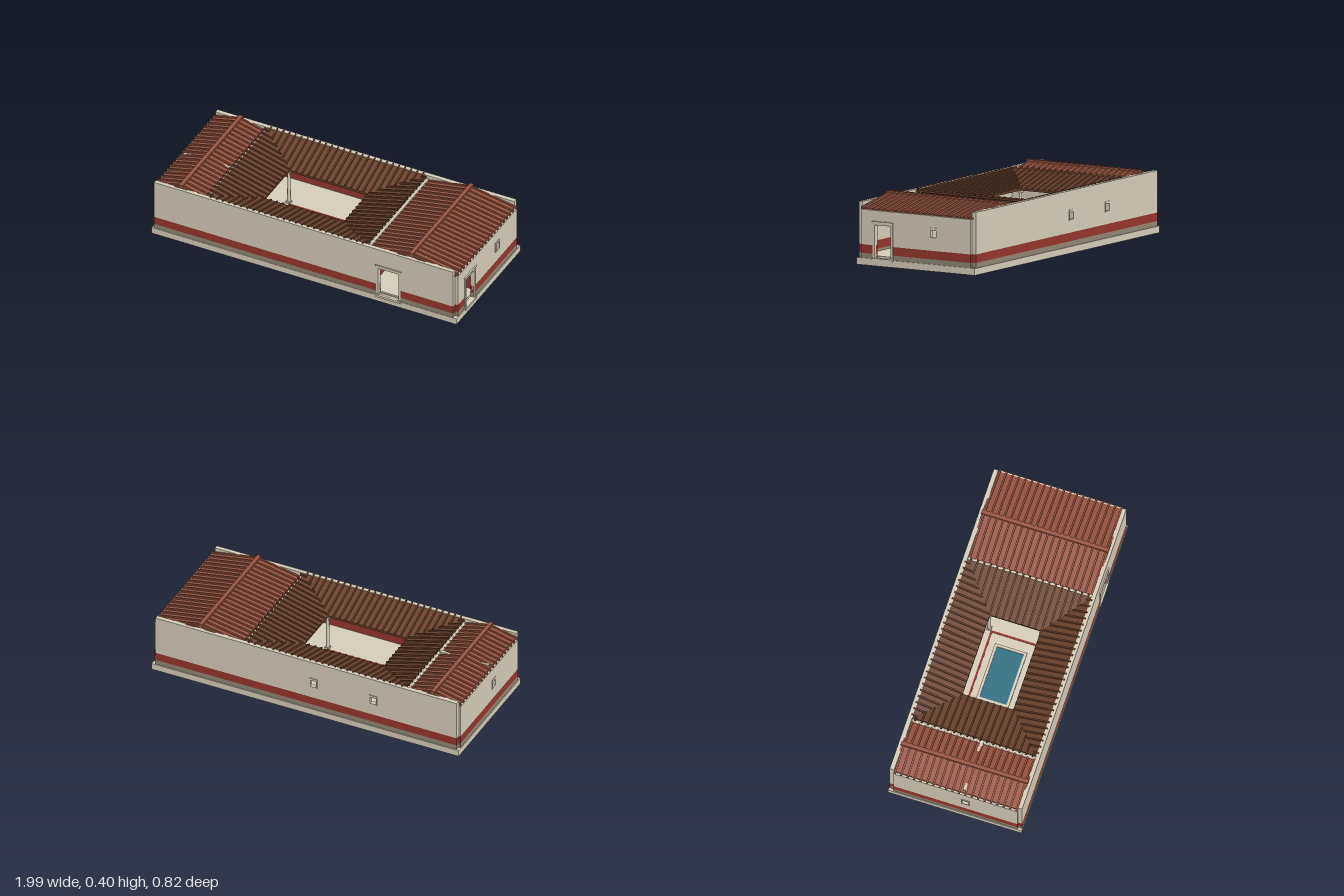
import * as THREE from 'three';
import { mergeGeometries } from 'three/addons/utils/BufferGeometryUtils.js';

const material = (name, color) => Object.assign(new THREE.MeshStandardMaterial({ color }), { name });

export function createModel() {
  const model = new THREE.Group();
  model.name = 'courtyardHouse';
  const plaster = material('cream plaster', 0xd6cdba);
  const red = material('red paint', 0x96362e);
  const stone = material('grey brown socle', 0x918675);
  const terracotta = material('terracotta tile', 0x9a5442);
  const brown = material('dark brown tile', 0x6b432f);
  const blue = material('pool water', 0x357182);

  const group = (name, parent = model) => {
    const g = new THREE.Group();
    g.name = name;
    parent.add(g);
    return g;
  };
  const add = (parent, name, geometry, mat) => {
    const mesh = new THREE.Mesh(geometry, mat);
    mesh.name = name;
    parent.add(mesh);
    return mesh;
  };
  // Box given by its limits on each axis
  const box = (parent, name, mat, x0, x1, y0, y1, z0, z1) => {
    const geo = new THREE.BoxGeometry(x1 - x0, y1 - y0, z1 - z0);
    geo.translate((x0 + x1) / 2, (y0 + y1) / 2, (z0 + z1) / 2);
    return add(parent, name, geo, mat);
  };
  // Box running a0..a1 along an axis and t0..t1 across it
  const along = (parent, name, mat, axis, a0, a1, y0, y1, t0, t1) => axis === 'x'
    ? box(parent, name, mat, a0, a1, y0, y1, t0, t1)
    : box(parent, name, mat, t0, t1, y0, y1, a0, a1);
  // Wall in horizontal colour bands, leaving out holes [a0, a1, y0, y1]
  const wall = (name, axis, a0, a1, t0, t1, bands, holes = []) => {
    const g = group(name);
    for (const [b0, b1, mat] of bands) {
      const cuts = [b0, b1, ...holes.flatMap(h => [h[2], h[3]]).filter(y => y > b0 && y < b1)];
      const ys = [...new Set(cuts)].sort((p, q) => p - q);
      for (let i = 0; i + 1 < ys.length; i++) {
        const mid = (ys[i] + ys[i + 1]) / 2;
        const row = holes.filter(h => h[2] < mid && h[3] > mid).sort((p, q) => p[0] - q[0]);
        let start = a0;
        for (const h of [...row, [a1, a1]]) {
          if (h[0] > start) along(g, 'wallBand', mat, axis, start, h[0], ys[i], ys[i + 1], t0, t1);
          start = h[1];
        }
      }
    }
  };
  // Slab under four corners in order around its top
  const slab = (corners, thick) => {
    const p = corners.map(c => new THREE.Vector3(...c));
    const n = p[1].clone().sub(p[0]).cross(p[2].clone().sub(p[0]));
    if (n.y < 0) p.reverse();
    const v = [...p, ...p.map(q => q.clone().setY(q.y - thick))];
    const geo = new THREE.BufferGeometry().setFromPoints(v);
    geo.setIndex([0, 1, 2, 0, 2, 3, 4, 6, 5, 4, 7, 6, 0, 4, 5, 0, 5, 1,
      1, 5, 6, 1, 6, 2, 2, 6, 7, 2, 7, 3, 3, 7, 4, 3, 4, 0]);
    const flat = geo.toNonIndexed();
    flat.computeVertexNormals();
    return flat;
  };
  // Raised cover tile from p to q
  const cover = (p, q, w = 0.005, h = 0.009) => {
    const alongX = Math.abs(q[0] - p[0]) > Math.abs(q[2] - p[2]);
    const side = ([x, y, z], s) => alongX ? [x, y + h, z + s * w] : [x + s * w, y + h, z];
    return slab([side(p, -1), side(q, -1), side(q, 1), side(p, 1)], h + 0.004);
  };

  // Base and floor
  box(model, 'base', plaster, -1, 0.985, 0, 0.04, -0.41, 0.405);
  box(model, 'floor', plaster, -0.97, 0.955, 0.04, 0.055, -0.378, 0.378);

  // Outer walls
  const bands = top => [[0.04, 0.07, stone], [0.07, 0.12, red], [0.12, top, plaster]];
  const frontDoor = [0.475, 0.607, 0.045, 0.235];
  const sideDoor = [0.17, 0.28, 0.04, 0.24];
  const windowHole = c => [c - 0.022, c + 0.022, 0.195, 0.24];
  const backWindows = [-0.445, -0.06];
  wall('frontWall', 'x', -0.985, 0.962, 0.378, 0.403, bands(0.367), [frontDoor]);
  wall('backWall', 'x', -0.985, 0.962, -0.405, -0.378, bands(0.367), backWindows.map(windowHole));
  wall('rightWall', 'z', -0.378, 0.378, 0.955, 0.98, bands(0.325), [sideDoor, windowHole(-0.124)]);
  wall('leftWall', 'z', -0.378, 0.378, -0.996, -0.97, bands(0.328), [windowHole(0.06)]);

  // Inner walls with red dados
  const plain = [[0.055, 0.345, plaster]];
  const dado = [[0.06, 0.14, red]];
  const passage = [[-0.07, 0.07, 0.055, 0.24]];
  const innerDoor = [[0.475, 0.565, 0.055, 0.235]];
  for (const [x0, x1] of [[-0.664, -0.645], [0.387, 0.405]]) {
    wall('crossWall', 'z', -0.378, 0.378, x0, x1, plain, passage);
    wall('crossWallDado', 'z', -0.378, 0.378, x0 - 0.004, x0, dado, passage);
    wall('crossWallDado', 'z', -0.378, 0.378, x1, x1 + 0.004, dado, passage);
  }
  wall('roomWall', 'x', 0.405, 0.955, 0.1, 0.12, [[0.055, 0.32, plaster]], innerDoor);
  wall('roomDado', 'x', 0.409, 0.955, 0.12, 0.124, dado, innerDoor);
  for (const s of [-1, 1])
    wall('atriumDado', 'x', -0.641, 0.383, s * 0.376 - 0.002, s * 0.376 + 0.002, dado);
  box(model, 'tieBeam', plaster, -0.97, -0.655, 0.3, 0.352, 0.04, 0.06);

  // Door frames, face is the outer wall plane
  const doorFrame = (name, axis, [a0, a1, , top], face) => {
    const g = group(name);
    const part = (n, p, q, y0, y1, out) => along(g, n, plaster, axis, p, q, y0, y1, face - 0.015, face + out);
    for (const [p, q] of [[a0 - 0.014, a0], [a1, a1 + 0.014]]) {
      part('jamb', p, q, 0.04, top, 0.004);
      part('jambFoot', p - 0.003, q + 0.003, 0.04, 0.052, 0.006);
    }
    part('lintel', a0 - 0.014, a1 + 0.014, top, top + 0.016, 0.004);
    part('cornice', a0 - 0.019, a1 + 0.019, top + 0.016, top + 0.022, 0.008);
    part('threshold', a0 - 0.015, a1 + 0.015, 0.031, 0.045, 0.009);
  };
  doorFrame('frontDoorFrame', 'x', frontDoor, 0.403);
  doorFrame('sideDoorFrame', 'z', sideDoor, 0.982);

  // Window frames
  const windowFrame = (axis, c, t0, t1) => {
    const g = group('windowFrame');
    const part = (n, p, q, y0, y1) => along(g, n, plaster, axis, c + p, c + q, y0, y1, t0, t1);
    part('windowLintel', -0.025, 0.025, 0.24, 0.255);
    part('windowSill', -0.025, 0.025, 0.19, 0.198);
    for (const s of [-1, 1]) part('windowJamb', s * 0.022 - 0.003, s * 0.022 + 0.003, 0.198, 0.24);
  };
  windowFrame('z', -0.124, 0.97, 0.984);
  windowFrame('z', 0.06, -0.999, -0.985);
  for (const x of backWindows) windowFrame('x', x, -0.409, -0.395);

  // Gable roofs with rows of cover tiles and a ridge cap
  const gableRoof = (name, xa, xr, xb, ridgeY, eaveY) => {
    const parts = [];
    for (const [xe, dir] of [[xa, -1], [xb, 1]]) {
      const z = 0.386;
      parts.push(slab([[xr, ridgeY, -z], [xe, eaveY, -z], [xe, eaveY, z], [xr, ridgeY, z]], 0.01));
      const drop = (ridgeY - eaveY) / Math.abs(xe - xr) * 0.014;
      for (let i = 0; i < 20; i++) {
        const cz = -0.371 + i * 0.742 / 19;
        parts.push(cover([xr, ridgeY, cz], [xe + dir * 0.014, eaveY - drop, cz]));
      }
    }
    parts.push(cover([xr, ridgeY + 0.004, -0.388], [xr, ridgeY + 0.004, 0.388], 0.012));
    add(model, name, mergeGeometries(parts), terracotta);
  };
  gableRoof('rightGableRoof', 0.404, 0.68, 0.967, 0.385, 0.333);
  gableRoof('leftGableRoof', -0.983, -0.82, -0.664, 0.378, 0.338);

  // Inward sloping atrium roof around the open court
  const O = { x0: -0.645, x1: 0.386, z0: -0.378, z1: 0.378, y: 0.362 };
  const I = { x0: -0.39, x1: 0.122, z0: -0.155, z1: 0.155, y: 0.29 };
  const mix = THREE.MathUtils.lerp;
  const roof = [];
  for (const [axis, other] of [['x', 'z'], ['z', 'x']]) {
    const [a0, a1] = [axis + '0', axis + '1'];
    for (const e of [other + '0', other + '1']) {
      // Point at position a along the edge and fraction t down the slope
      const at = (a, t) => {
        const b = mix(O[e], I[e], t), y = mix(O.y, I.y, t);
        return axis === 'x' ? [a, y, b] : [b, y, a];
      };
      roof.push(slab([at(O[a0], 0), at(O[a1], 0), at(I[a1], 1), at(I[a0], 1)], 0.012));
      const count = Math.round((O[a1] - O[a0]) / 0.039);
      for (let i = 0; i < count; i++) {
        const a = mix(O[a0], O[a1], (i + 0.5) / count);
        const t = Math.min(1, (a - O[a0]) / (I[a0] - O[a0]), (O[a1] - a) / (O[a1] - I[a1]));
        roof.push(cover(at(a, -0.05), at(a, t), 0.0045));
      }
    }
  }
  add(model, 'atriumRoof', mergeGeometries(roof), brown);

  // Rectangular frame lying flat
  const frame = (name, mat, x0, x1, z, w, y0, y1) => {
    const g = group(name);
    for (const s of [-1, 1]) box(g, name + 'LongSide', mat, x0, x1, y0, y1, s * (z - w / 2) - w / 2, s * (z - w / 2) + w / 2);
    for (const x of [x0, x1 - w]) box(g, name + 'ShortSide', mat, x, x + w, y0, y1, -z + w, z - w);
  };
  // Court floor border, pool and corner columns
  frame('floorBorder', red, -0.385, 0.117, 0.148, 0.012, 0.055, 0.058);
  frame('poolRim', plaster, -0.313, 0.045, 0.098, 0.016, 0.055, 0.066);
  box(model, 'water', blue, -0.297, 0.029, 0.055, 0.059, -0.082, 0.082);
  for (const x of [-0.394, 0.126]) for (const z of [-0.16, 0.16]) {
    const column = group('column');
    column.position.set(x, 0, z);
    add(column, 'columnShaft', new THREE.CylinderGeometry(0.009, 0.011, 0.23, 12), plaster).position.y = 0.17;
    box(column, 'columnBase', plaster, -0.014, 0.014, 0.055, 0.067, -0.014, 0.014);
    box(column, 'columnCapital', plaster, -0.013, 0.013, 0.266, 0.278, -0.013, 0.013);
  }
  return model;
}
